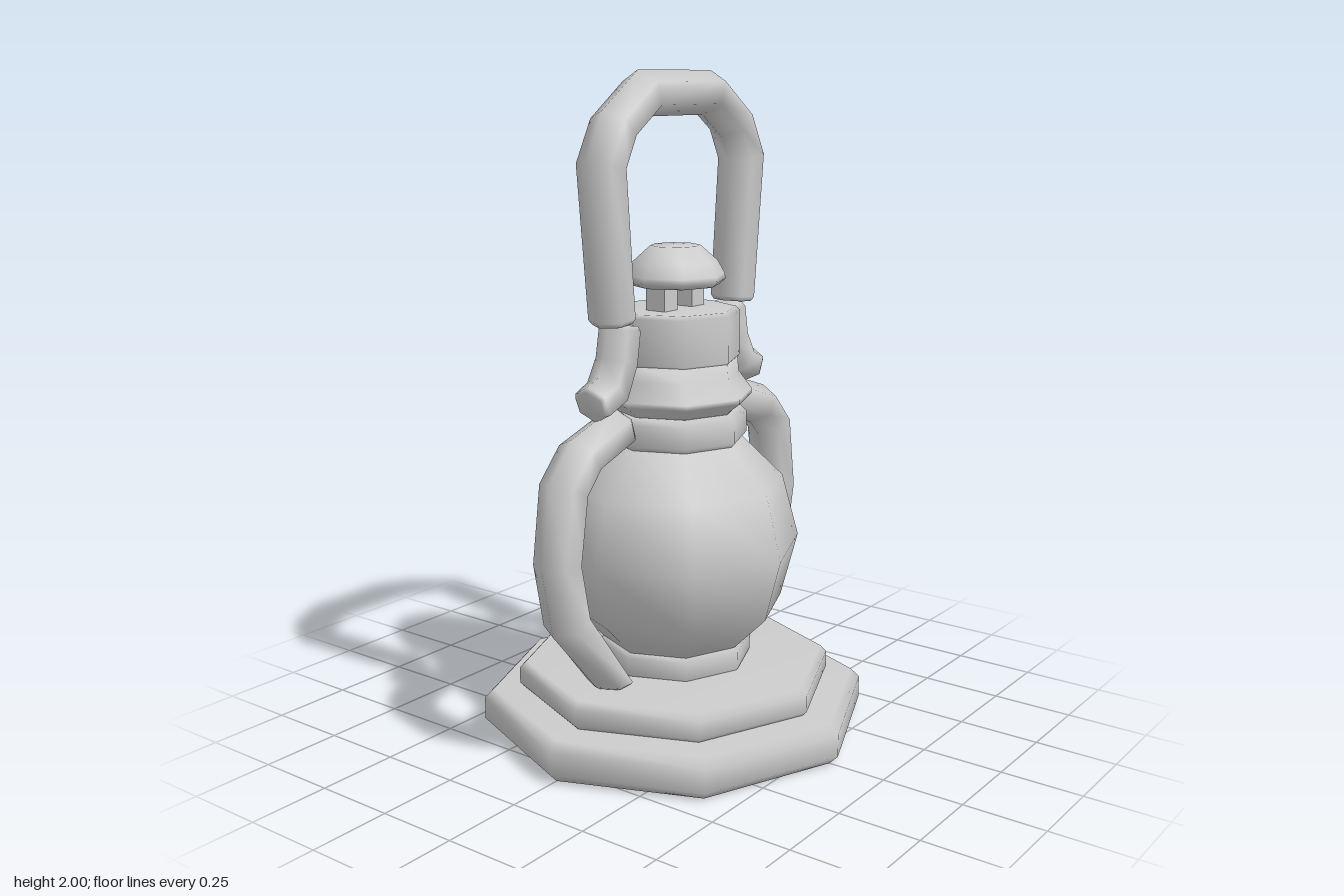
import * as THREE from 'three';
import { mergeVertices } from 'three/addons/utils/BufferGeometryUtils.js';

const material = new THREE.MeshStandardMaterial({ color: 0xcccccc });

function addMesh(group, name, geometry) {
  const mesh = new THREE.Mesh(geometry, material);
  mesh.name = name;
  group.add(mesh);
  return mesh;
}

// Eight-sided turned solid, with area-weighted smooth normals so flat faces stay flat
function turned(profile) {
  let geo = new THREE.LatheGeometry(profile.map(([r, y]) => new THREE.Vector2(r, y)), 8);
  geo.deleteAttribute('uv');
  geo.deleteAttribute('normal');
  geo = mergeVertices(geo);
  geo.computeVertexNormals();
  return geo;
}

// Closed disc with bevelled rims
function disc(radius, y0, y1, bevel) {
  return turned([
    [0, y0], [radius - bevel, y0], [radius, y0 + bevel],
    [radius, y1 - bevel], [radius - bevel, y1], [0, y1],
  ]);
}

// Hexagonal bar swept along a path in the xy plane, with mitred joints and bevelled ends
function hexBar(path, radius, endTangent) {
  const pts = path.map(([x, y]) => new THREE.Vector2(x, y));
  const last = pts.length - 1;
  const dirs = pts.slice(1).map((p, i) => p.clone().sub(pts[i]).normalize());
  const rings = [];
  pts.forEach((p, i) => {
    const before = dirs[Math.max(i - 1, 0)];
    const after = dirs[Math.min(i, last - 1)];
    let t = before.clone().add(after).normalize();
    if (i === last && endTangent) t = endTangent;
    const r = radius / (i === last ? 1 : t.dot(after));
    const ring = { p, t, r };
    const cap = { p, t, r: r * 0.85 };
    if (i === 0) rings.push(cap, { p: p.clone().addScaledVector(after, 0.014), t, r });
    else if (i === last) rings.push({ p: p.clone().addScaledVector(before, -0.014), t, r }, cap);
    else rings.push(ring);
  });

  const position = [];
  const index = [];
  for (const { p, t, r } of rings) {
    for (let j = 0; j < 6; j++) {
      const a = (j * Math.PI) / 3;
      const n = r * Math.cos(a);
      position.push(p.x - t.y * n, p.y + t.x * n, 1.07 * radius * (r / radius) * Math.sin(a));
    }
  }
  const startCentre = rings.length * 6;
  const endRing = startCentre - 6;
  position.push(pts[0].x, pts[0].y, 0, pts[last].x, pts[last].y, 0);
  for (let j = 0; j < 6; j++) {
    const k = (j + 1) % 6;
    for (let i = 0; i < rings.length - 1; i++) {
      const a = i * 6 + j, b = i * 6 + k;
      index.push(a, b, a + 6, b, b + 6, a + 6);
    }
    index.push(startCentre, k, j, startCentre + 1, endRing + j, endRing + k);
  }
  const geo = new THREE.BufferGeometry();
  geo.setAttribute('position', new THREE.Float32BufferAttribute(position, 3));
  geo.setIndex(index);
  geo.computeVertexNormals();
  return geo;
}

export function createModel() {
  const group = new THREE.Group();
  group.name = 'lantern';

  // Stepped base and collar under the globe
  addMesh(group, 'lowerBase', disc(0.597, 0, 0.125, 0.028));
  addMesh(group, 'upperBase', disc(0.487, 0.12, 0.21, 0.02));
  addMesh(group, 'globeCollar', disc(0.238, 0.2, 0.285, 0.016));

  // Faceted globe, rings every 30 degrees
  const globe = [];
  for (let i = 0; i <= 6; i++) {
    const a = (i * Math.PI) / 6;
    globe.push([0.387 * Math.sin(a), 0.585 - 0.387 * Math.cos(a)]);
  }
  addMesh(group, 'globe', turned(globe));

  // Neck rings and cap
  addMesh(group, 'neckRing', disc(0.22, 0.9, 1.005, 0.02));
  addMesh(group, 'flaredNeck', turned([
    [0, 0.99], [0.19, 0.99], [0.195, 1.01], [0.235, 1.04],
    [0.235, 1.055], [0.195, 1.11], [0.19, 1.16], [0, 1.16],
  ]));
  addMesh(group, 'cap', disc(0.196, 1.148, 1.308, 0.012));

  // Knob on two small posts
  for (const side of [-1, 1]) {
    const post = addMesh(group, 'knobPost', new THREE.BoxGeometry(0.062, 0.12, 0.07));
    post.position.set(side * 0.067, 1.35, 0);
  }
  addMesh(group, 'knob', turned([
    [0, 1.377], [0.135, 1.377], [0.152, 1.392], [0.15, 1.408],
    [0.128, 1.447], [0.075, 1.494], [0, 1.494],
  ]));

  // Carrying handle
  const halfHandle = [[0.298, 1.295], [0.34, 1.74], [0.285, 1.845], [0.155, 1.935]];
  const handlePath = [
    ...halfHandle.map(([x, y]) => [-x, y]),
    ...halfHandle.slice().reverse(),
  ];
  addMesh(group, 'handle', hexBar(handlePath, 0.065));

  // Handle hooks and side arms, mirrored
  const hook = [[0.262, 1.29], [0.28, 1.185], [0.322, 1.105], [0.4, 1.072]];
  const arm = [
    [0.268, 0.995], [0.445, 0.937], [0.518, 0.857],
    [0.55, 0.645], [0.513, 0.466], [0.315, 0.215],
  ];
  for (const [side, label] of [[1, 'left'], [-1, 'right']]) {
    const mirror = (path) => path.map(([x, y]) => [side * x, y]);
    addMesh(group, label + 'HandleHook', hexBar(mirror(hook), 0.058));
    addMesh(group, label + 'SideArm', hexBar(mirror(arm), 0.065, new THREE.Vector2(0, -1)));
  }

  return group;
}
